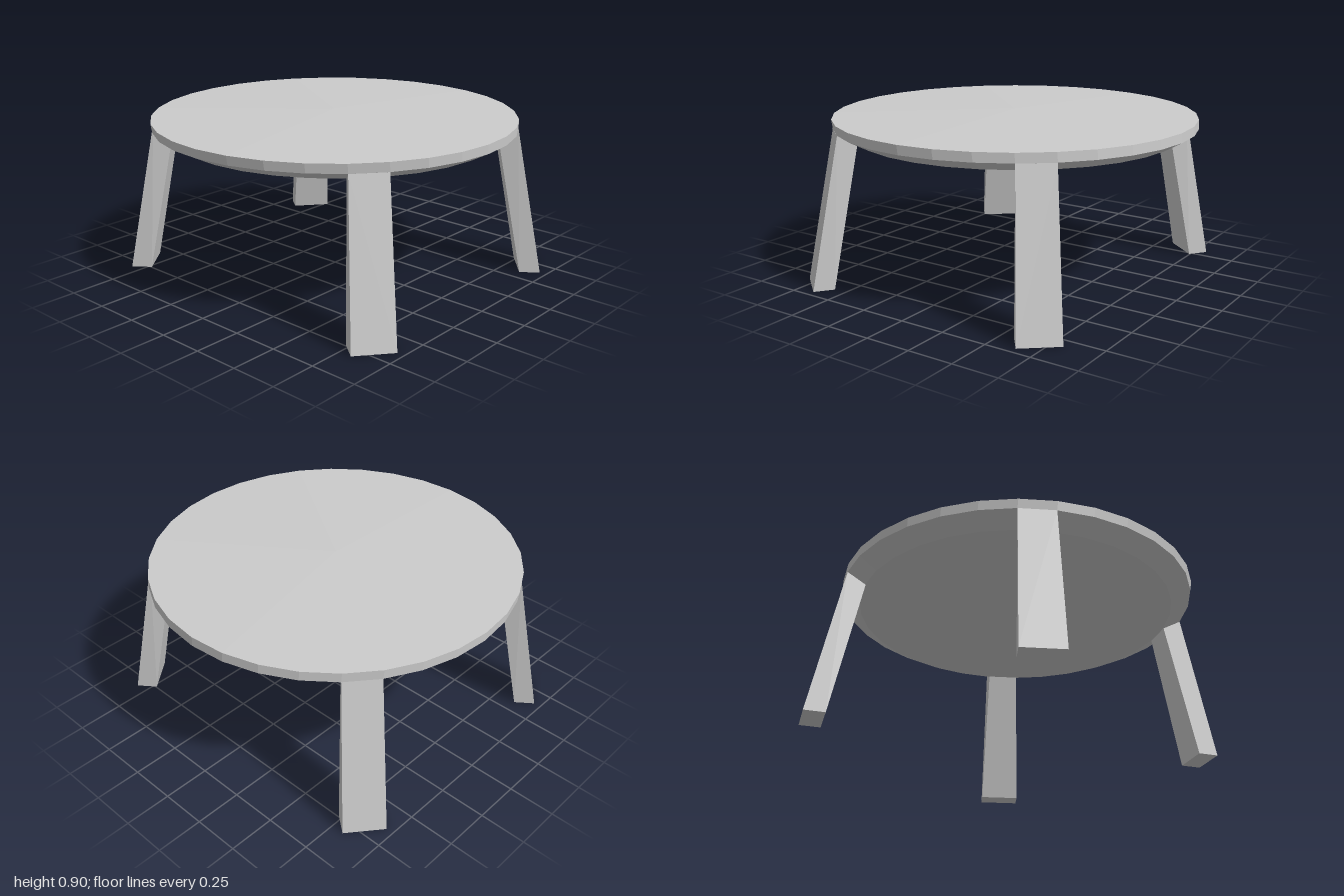
import * as THREE from 'three';
import { ConvexGeometry } from 'three/addons/geometries/ConvexGeometry.js';

const SIDES = 32;

export function createModel() {
  const group = new THREE.Group();
  group.name = 'roundTable';
  const material = new THREE.MeshStandardMaterial({ color: 0xcccccc, flatShading: true });

  // Round top: flat underside, chamfer, thin rim and a slightly domed surface
  const profile = [[0, 0.775], [0.888, 0.775], [0.992, 0.83], [0.995, 0.88], [0, 0.905]]
    .map(([r, y]) => new THREE.Vector2(r, y));
  const topGeometry = new THREE.LatheGeometry(profile, SIDES);
  // The disc leans very slightly towards the front
  const pos = topGeometry.attributes.position;
  for (let i = 0; i < pos.count; i++) {
    pos.setZ(i, pos.getZ(i) + THREE.MathUtils.mapLinear(pos.getY(i), 0.775, 0.88, -0.007, 0.005));
  }
  const tableTop = new THREE.Mesh(topGeometry, material);
  tableTop.name = 'tableTop';
  group.add(tableTop);

  // Splayed legs growing out of one chamfer segment each, mirrored to four corners
  const onRing = (r, y, step) => {
    const a = (step / SIDES) * Math.PI * 2;
    return [r * Math.cos(a), y, r * Math.sin(a)];
  };
  const legCorners = [
    [0.96, 0, 0.645], [0.82, 0, 0.815], [0.73, 0, 0.745], [0.87, 0, 0.575],
    onRing(0.992, 0.83, 3), onRing(0.992, 0.83, 4),
    onRing(0.888, 0.775, 4), onRing(0.888, 0.775, 3),
  ];
  for (const [sx, xName] of [[1, 'Left'], [-1, 'Right']]) {
    for (const [sz, zName] of [[1, 'front'], [-1, 'back']]) {
      const points = legCorners.map(([x, y, z]) => new THREE.Vector3(x * sx, y, z * sz));
      const leg = new THREE.Mesh(new ConvexGeometry(points), material);
      leg.name = `${zName}${xName}Leg`;
      group.add(leg);
    }
  }
  return group;
}
